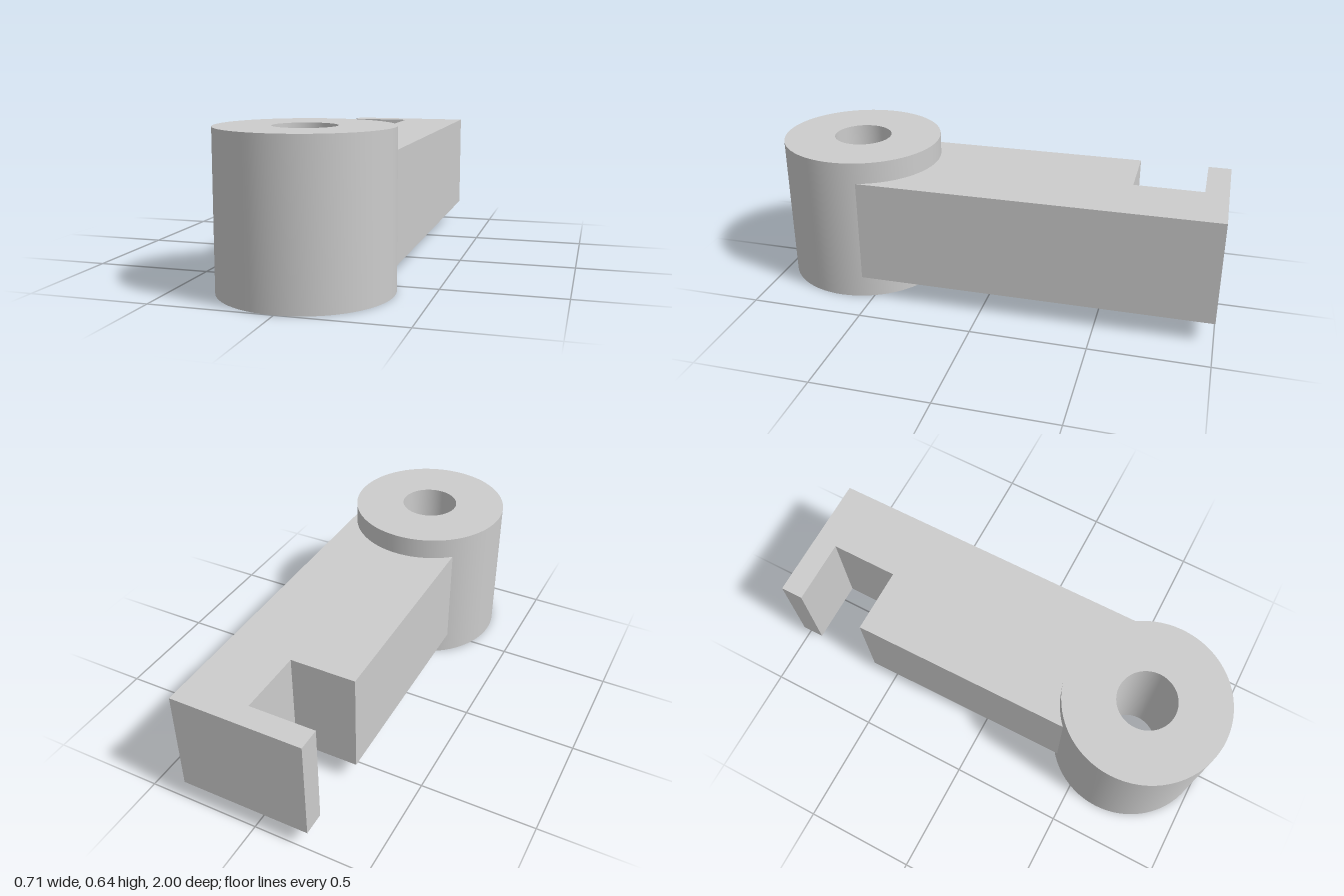
import * as THREE from 'three';
import { toCreasedNormals } from 'three/addons/utils/BufferGeometryUtils.js';

export function createModel() {
  const model = new THREE.Group();
  const grey = new THREE.MeshStandardMaterial({ color: 0xcccccc });
  grey.name = 'grey';

  const outer = 0.354, bore = 0.128, height = 0.645, hubZ = 0.646;

  function addPart(name, geometry) {
    const mesh = new THREE.Mesh(toCreasedNormals(geometry, 0.6), grey);
    mesh.name = name;
    model.add(mesh);
    return mesh;
  }

  // Hub: upright ring with a through bore
  const profile = [[bore, 0], [outer, 0], [outer, height], [bore, height], [bore, 0]]
    .map(([r, y]) => new THREE.Vector2(r, y));
  addPart('hub', new THREE.LatheGeometry(profile, 72)).position.z = hubZ;

  // Arm: slotted bar whose near end is cut to sit just inside the hub wall
  const seat = outer - 0.003;
  const rightJoin = Math.acos(0.34 / seat);
  const leftJoin = Math.acos(-0.236 / seat);
  const outline = new THREE.Shape();
  outline.moveTo(-0.245, 1);
  outline.lineTo(0.33, 1);
  outline.lineTo(0.34, -hubZ + seat * Math.sin(rightJoin));
  outline.absarc(0, -hubZ, seat, rightJoin, leftJoin, false);
  outline.lineTo(-0.245, 0.6);
  outline.lineTo(0.042, 0.6);
  outline.lineTo(0.042, 0.9);
  outline.lineTo(-0.245, 0.9);
  outline.closePath();
  const arm = new THREE.ExtrudeGeometry(outline, { depth: 0.455, bevelEnabled: false, curveSegments: 32 });
  arm.rotateX(-Math.PI / 2);
  addPart('slottedArm', arm).position.y = 0.096;

  return model;
}
